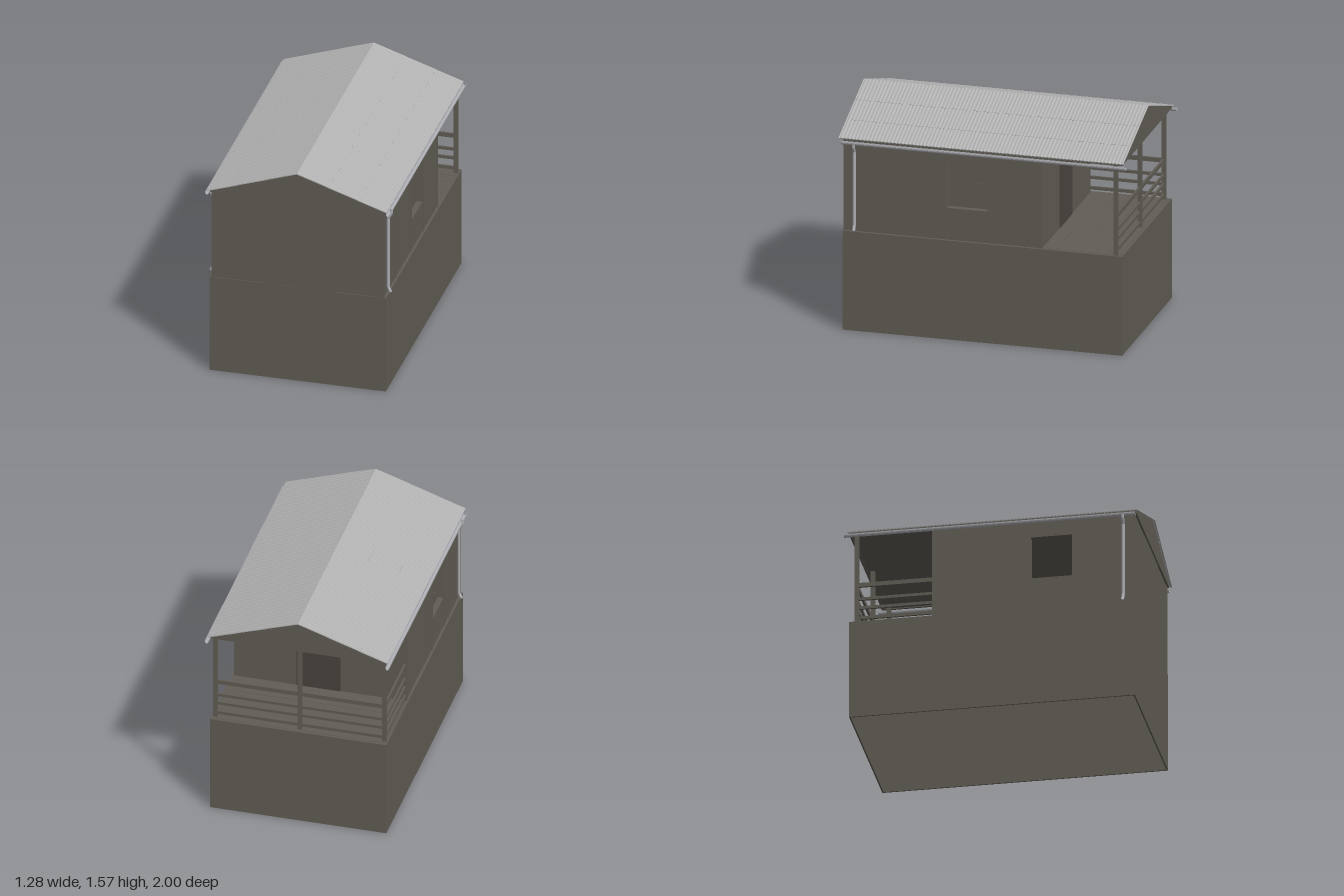
import * as THREE from 'three';

export function createModel() {
  const model = new THREE.Group();
  model.name = 'cabin';

  const timber = new THREE.MeshStandardMaterial({ color: 0x625e56 });
  const roofMetal = new THREE.MeshStandardMaterial({ color: 0xb2b2b2 });
  const gutterMetal = new THREE.MeshStandardMaterial({ color: 0xb0b1b6, side: THREE.DoubleSide });
  const darkTimber = new THREE.MeshStandardMaterial({ color: 0x4a4640 });
  timber.name = 'timber';
  roofMetal.name = 'roof metal';
  gutterMetal.name = 'gutter metal';
  darkTimber.name = 'dark timber';

  const add = (name, geometry, material, x = 0, y = 0, z = 0) => {
    const mesh = new THREE.Mesh(geometry, material);
    mesh.name = name;
    mesh.position.set(x, y, z);
    model.add(mesh);
    return mesh;
  };
  // Box given by its minimum and maximum on each axis
  const box = (name, x0, x1, y0, y1, z0, z1, material = timber) =>
    add(name, new THREE.BoxGeometry(x1 - x0, y1 - y0, z1 - z0), material,
      (x0 + x1) / 2, (y0 + y1) / 2, (z0 + z1) / 2);
  const shapeOf = points => new THREE.Shape(points.map(p => new THREE.Vector2(...p)));

  const FLOOR = 0.7, CEIL = 1.345, BACK = -0.41, FRONT = 0.965;

  // Hollow base, open underneath and below the room
  for (const s of [-1, 1]) {
    const x = s * 0.605, z = s * 0.965;
    box('baseSide', x - 0.005, x + 0.005, 0, FLOOR, -0.97, 0.97);
    box('baseEnd', -0.6, 0.6, 0, FLOOR, z - 0.005, z + 0.005);
    // Ledge that carries the walls
    box('baseLedge', s * 0.575 - 0.025, s * 0.575 + 0.025, FLOOR - 0.012, FLOOR, BACK, 0.96);
  }
  box('frontLedge', -0.55, 0.55, FLOOR - 0.012, FLOOR, 0.92, 0.96);

  // Side walls, each with one window opening
  const sideWall = (s, w0, w1) => {
    const shape = shapeOf([[BACK, FLOOR], [FRONT, FLOOR], [FRONT, CEIL], [BACK, CEIL]]);
    shape.holes.push(shapeOf([[w0, 0.925], [w0, 1.225], [w1, 1.225], [w1, 0.925]]));
    const geometry = new THREE.ExtrudeGeometry(shape, { depth: 0.04, bevelEnabled: false });
    geometry.rotateY(-Math.PI / 2);
    add('sideWall', geometry, timber, s > 0 ? 0.592 : -0.552, 0, 0);

    // Upright battens over the panel joints
    for (const z of [BACK + 0.012, w0 - 0.012, w1 + 0.012, 0.66, FRONT - 0.012]) {
      box('sideBatten', s * 0.594 - 0.004, s * 0.594 + 0.004, FLOOR, CEIL, z - 0.008, z + 0.008);
    }
  };
  sideWall(1, -0.03, 0.25);
  sideWall(-1, 0.26, 0.54);

  // Front wall with its middle panel and corner battens, porch wall and door
  box('frontWall', -0.59, 0.59, FLOOR, CEIL, FRONT - 0.04, FRONT);
  box('frontPanel', -0.24, 0.255, FLOOR, CEIL, FRONT - 0.002, FRONT + 0.003);
  for (const x of [-0.58, 0.58]) {
    box('frontBatten', x - 0.016, x + 0.016, FLOOR, CEIL, FRONT - 0.002, FRONT + 0.004);
  }
  box('porchWall', -0.59, 0.59, FLOOR, CEIL, BACK, BACK + 0.03);
  box('door', -0.14, 0.165, FLOOR, 1.2, BACK - 0.004, BACK, darkTimber);

  // Porch deck with its boards
  box('deck', -0.6, 0.6, FLOOR - 0.012, FLOOR, -0.96, BACK + 0.03);
  for (let i = 0; i < 6; i++) {
    const z = -0.95 + i * 0.089;
    box('deckBoard', -0.59, 0.59, FLOOR - 0.002, FLOOR + 0.002, z, z + 0.085);
  }

  // Porch posts and rails; the left side is the open entry
  for (const x of [-0.585, 0, 0.585]) {
    box('porchPost', x - 0.014, x + 0.014, FLOOR, CEIL, -0.935, -0.907);
  }
  for (const [y, h] of [[0.733, 0.022], [0.807, 0.02], [0.873, 0.02], [0.975, 0.03]]) {
    box('backRail', -0.585, 0.585, y - h / 2, y + h / 2, -0.928, -0.914);
    box('sideRail', -0.592, -0.578, y - h / 2, y + h / 2, -0.92, BACK);
  }

  // Flat ceiling, eave boards and gables
  box('ceiling', -0.59, 0.59, CEIL, CEIL + 0.008, -0.96, FRONT);
  for (const s of [-1, 1]) {
    box('eaveBoard', s * 0.595 - 0.007, s * 0.595 + 0.007, 1.338, 1.362, -0.96, FRONT);
  }
  const gable = shapeOf([[-0.605, 1.342], [0.605, 1.342], [0.605, 1.36], [0, 1.56], [-0.605, 1.36]]);
  for (const z of [-0.97, 0.962]) {
    add('gable', new THREE.ExtrudeGeometry(gable, { depth: 0.016, bevelEnabled: false }), timber, 0, 0, z);
  }

  // Corrugated roof: three overlapping rows of sheets on each slope
  const RISE = 0.205, RUN = 0.622, LENGTH = 1.975, ROWS = 3;
  const slope = Math.hypot(RISE, RUN), rowLength = slope / ROWS;
  for (const s of [-1, 1]) {
    const roof = new THREE.Group();
    roof.name = 'roofSlope';
    roof.position.set(0, 1.564, 0.0075);
    roof.rotation.z = -s * Math.atan2(RISE, RUN);
    for (let row = 0; row < ROWS; row++) {
      // Upper rows lap a little over the row below
      const length = rowLength + (row < ROWS - 1 ? 0.015 : 0);
      const sheet = new THREE.BoxGeometry(length, 0.006, LENGTH, 1, 1, 480);
      const p = sheet.attributes.position;
      for (let i = 0; i < p.count; i++) {
        p.setY(i, p.getY(i) + 0.002 * Math.sin((p.getZ(i) / LENGTH) * Math.PI * 2 * 80));
      }
      sheet.computeVertexNormals();
      const mesh = new THREE.Mesh(sheet, roofMetal);
      mesh.name = 'roofSheet';
      mesh.position.set(s * (row * rowLength + length / 2), -0.0015 * row, 0);
      roof.add(mesh);
    }
    model.add(roof);
  }

  // Half-round gutters, open upwards, and downpipes
  const arc = Array.from({ length: 9 }, (_, i) => {
    const a = Math.PI * (1 + i / 8);
    return [0.014 * Math.cos(a), 0.02 * Math.sin(a)];
  });
  const inner = arc.map(([x, y]) => [x * 0.85, y * 0.9]).reverse();
  const trough = new THREE.ExtrudeGeometry(shapeOf([...arc, ...inner]), { depth: 1.975, bevelEnabled: false });
  for (const s of [-1, 1]) {
    add('gutter', trough, gutterMetal, s * 0.625, 1.336, -1);

    const path = new THREE.CurvePath();
    const points = [[0.628, 1.328], [0.626, 1.3], [0.605, 1.265], [0.605, 0.745], [0.622, 0.712]]
      .map(([x, y]) => new THREE.Vector3(s * x, y, 0.89));
    for (let i = 1; i < points.length; i++) path.add(new THREE.LineCurve3(points[i - 1], points[i]));
    add('downpipe', new THREE.TubeGeometry(path, 60, 0.011, 8), gutterMetal);
  }

  return model;
}
